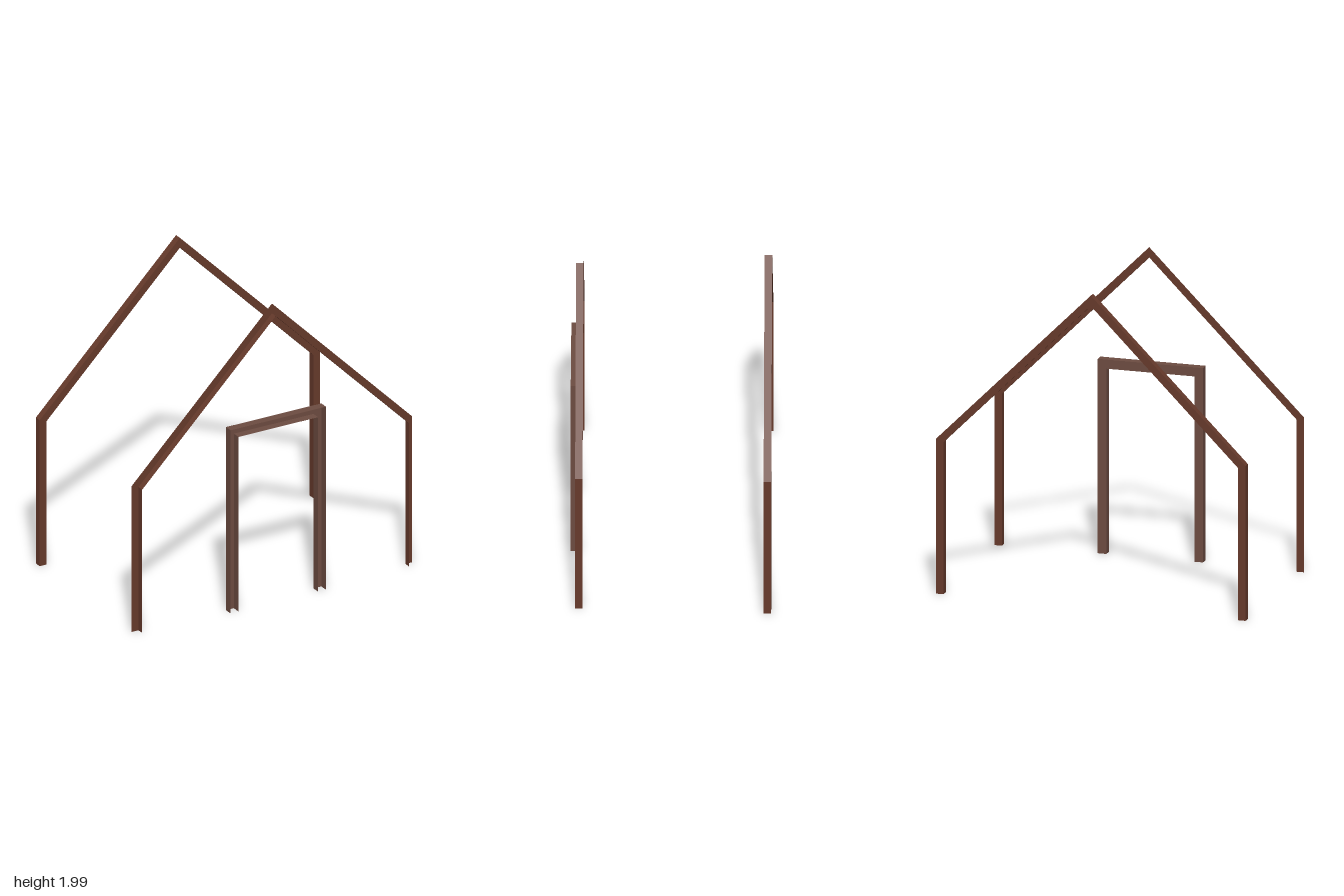
import * as THREE from 'three';

// Mirrors the +x half of a path (listed from the ground up) into a full arch.
function arch(half) {
  const left = half.map(([x, y]) => [-x, y]).reverse();
  return [...half, ...left.filter(([x]) => x !== 0)];
}

// Flat outline between an outer and an inner arch.
function band(outer, inner) {
  const points = [...outer, ...[...inner].reverse()];
  return new THREE.Shape(points.map(([x, y]) => new THREE.Vector2(x, y)));
}

// Thin strip that follows an arch and runs in depth from z0 to z1.
function strip(path, z0, z1) {
  const positions = [];
  for (let i = 0; i < path.length - 1; i++) {
    const [ax, ay] = path[i];
    const [bx, by] = path[i + 1];
    positions.push(ax, ay, z0, bx, by, z0, bx, by, z1);
    positions.push(ax, ay, z0, bx, by, z1, ax, ay, z1);
  }
  const geometry = new THREE.BufferGeometry();
  geometry.setAttribute('position', new THREE.Float32BufferAttribute(positions, 3));
  geometry.computeVertexNormals();
  return geometry;
}

export function createModel() {
  const frameWood = new THREE.MeshStandardMaterial({ color: 0x663a2b, side: THREE.DoubleSide });
  frameWood.name = 'reddish brown wood';
  const doorWood = new THREE.MeshStandardMaterial({ color: 0x6d4c41, side: THREE.DoubleSide });
  doorWood.name = 'pale brown wood';

  const model = new THREE.Group();
  model.name = 'houseFrame';
  const add = (parent, name, geometry, material, z = 0) => {
    const mesh = new THREE.Mesh(geometry, material);
    mesh.name = name;
    mesh.position.z = z;
    parent.add(mesh);
  };
  const group = (name) => {
    const g = new THREE.Group();
    g.name = name;
    model.add(g);
    return g;
  };

  // Gable outlines: post, eave, ridge
  const gableOuter = arch([[1, 0], [1, 0.988], [0, 1.988]]);
  const gableInner = arch([[0.952, 0], [0.952, 0.97], [0, 1.922]]);

  // Back gable: solid square beams
  const backGable = group('backGable');
  const beam = new THREE.ExtrudeGeometry(band(gableOuter, gableInner), { depth: 0.047, bevelEnabled: false });
  add(backGable, 'backGableBeams', beam, frameWood, -0.618);

  // Front gable: angle trim, a flat face with a lip along its inner edge
  const frontGable = group('frontGable');
  add(frontGable, 'frontGableFace', new THREE.ShapeGeometry(band(gableOuter, gableInner)), frameWood, 0.541);
  add(frontGable, 'frontGableLip', strip(gableInner, 0.541, 0.587), frameWood);

  // Door frame: channel trim, open towards the front
  const doorOuter = arch([[0.34, 0], [0.34, 1.24]]);
  const doorInner = arch([[0.284, 0], [0.284, 1.182]]);
  const doorFrame = group('doorFrame');
  add(doorFrame, 'doorFrameBack', new THREE.ShapeGeometry(band(doorOuter, doorInner)), doorWood, 0.562);
  add(doorFrame, 'doorFrameOuterLip', strip(doorOuter, 0.562, 0.618), doorWood);
  add(doorFrame, 'doorFrameInnerLip', strip(doorInner, 0.562, 0.618), doorWood);

  return model;
}
